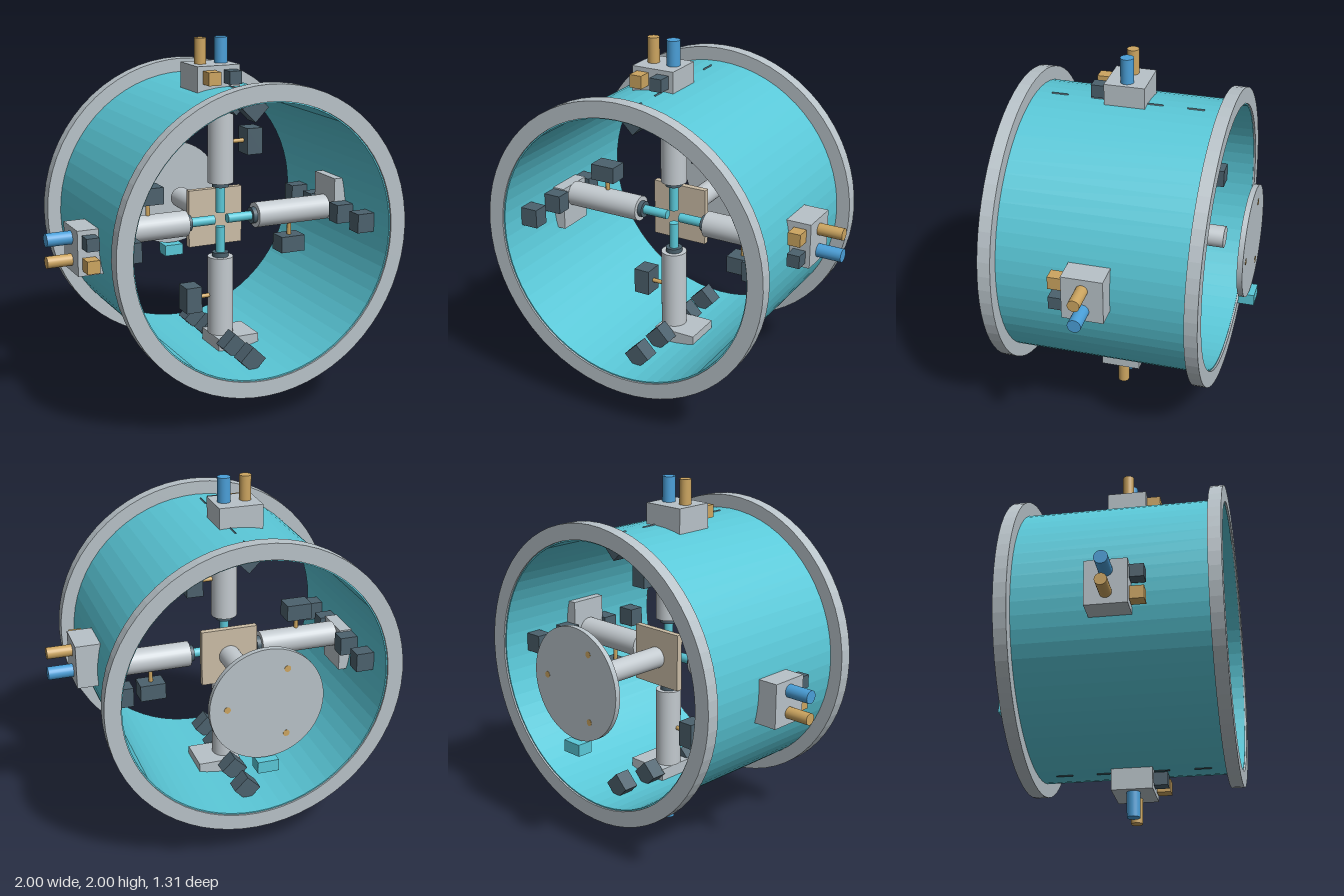
import * as THREE from 'three';

export function createModel() {
  const model = new THREE.Group();
  model.name = 'actuatorDrum';

  const paint = (name, hex) => {
    const m = new THREE.MeshStandardMaterial({ color: hex });
    m.name = name;
    return m;
  };
  const teal = paint('teal', 0x5ac8d8);
  const grey = paint('lightGrey', 0xb8c2c8);
  const steel = paint('steel', 0xc3cacf);
  const dark = paint('darkSlate', 0x4c616d);
  const gold = paint('gold', 0xcca560);
  const blue = paint('blue', 0x4a9fd8);
  const tan = paint('tan', 0xcbbda6);

  const add = (parent, name, geo, mat, x = 0, y = 0, z = 0) => {
    const mesh = new THREE.Mesh(geo, mat);
    mesh.name = name;
    mesh.position.set(x, y, z);
    parent.add(mesh);
    return mesh;
  };
  const box = (w, h, d) => new THREE.BoxGeometry(w, h, d);
  const rodX = (r, len, n = 24) => new THREE.CylinderGeometry(r, r, len, n).rotateZ(-Math.PI / 2);
  const rodZ = (r, len, n = 32) => new THREE.CylinderGeometry(r, r, len, n).rotateX(Math.PI / 2);

  // faceted hollow ring around the z axis
  const ring = (inner, outer, z0, z1) => {
    const profile = [[outer, z0], [outer, z1], [inner, z1], [inner, z0], [outer, z0]]
      .map(([r, z]) => new THREE.Vector2(r, z));
    const geo = new THREE.LatheGeometry(profile, 64).rotateX(Math.PI / 2).toNonIndexed();
    geo.computeVertexNormals();
    return geo;
  };

  // drum with its two end flanges
  add(model, 'drumShell', ring(0.73, 0.75, -0.49, 0.64), teal, 0, 1, 0);
  add(model, 'frontFlange', ring(0.737, 0.825, 0.58, 0.65), grey, 0, 1, 0);
  add(model, 'rearFlange', ring(0.737, 0.825, -0.5, -0.43), grey, 0, 1, 0);

  // four identical arms, built pointing along +x
  for (let i = 0; i < 4; i++) {
    const arm = new THREE.Group();
    arm.name = 'arm' + (i + 1);
    arm.position.set(0, 1, 0.08);
    arm.rotation.z = i * Math.PI / 2;
    model.add(arm);

    // telescoping actuator
    add(arm, 'pistonRod', rodX(0.026, 0.18), teal, 0.13);
    add(arm, 'collar', rodX(0.046, 0.03), dark, 0.2);
    add(arm, 'actuatorBarrel', rodX(0.071, 0.445, 32), steel, 0.4325);

    // position sensor on a short stalk
    add(arm, 'sensorStalk', rodX(0.012, 0.1, 12).rotateZ(Math.PI / 2), gold, 0.43, -0.1);
    add(arm, 'sensorBox', box(0.145, 0.092, 0.11), dark, 0.43, -0.182);

    // mounting block through the wall, with its pipes and connectors
    add(arm, 'portBlock', box(0.205, 0.245, 0.22), grey, 0.7605, 0.062);
    add(arm, 'bluePipe', rodX(0.036, 0.16), blue, 0.92, 0);
    add(arm, 'goldPipe', rodX(0.032, 0.16), gold, 0.92, 0.12);
    add(arm, 'darkConnector', box(0.07, 0.07, 0.075), dark, 0.805, 0, 0.15);
    add(arm, 'goldConnector', box(0.07, 0.07, 0.075), gold, 0.805, 0.12, 0.15);

    // row of wall sensors, turned on edge at the top and bottom
    for (const z of [-0.37, -0.15, 0.15, 0.37]) {
      const cube = add(arm, 'wallSensor', box(0.105, 0.105, 0.09), dark, 0.681, 0, z);
      if (i % 2) cube.rotation.z = Math.PI / 4;
    }
  }

  // central plate and shaft
  add(model, 'hubPlate', box(0.32, 0.32, 0.035), tan, 0, 1, 0);
  add(model, 'hubShaft', rodZ(0.06, 0.46), steel, 0, 1, -0.24);

  // rear disc with three contact pads and a small block below
  add(model, 'rearDisc', rodZ(0.31, 0.03, 48), grey, 0, 1, -0.61);
  for (let i = 0; i < 3; i++) {
    const a = i * Math.PI * 2 / 3;
    add(model, 'discPad', rodZ(0.018, 0.006, 12), gold,
      0.215 * Math.cos(a), 1 + 0.215 * Math.sin(a), -0.624);
  }
  add(model, 'rearBlock', box(0.115, 0.065, 0.09), teal, 0, 0.648, -0.612);

  return model;
}
